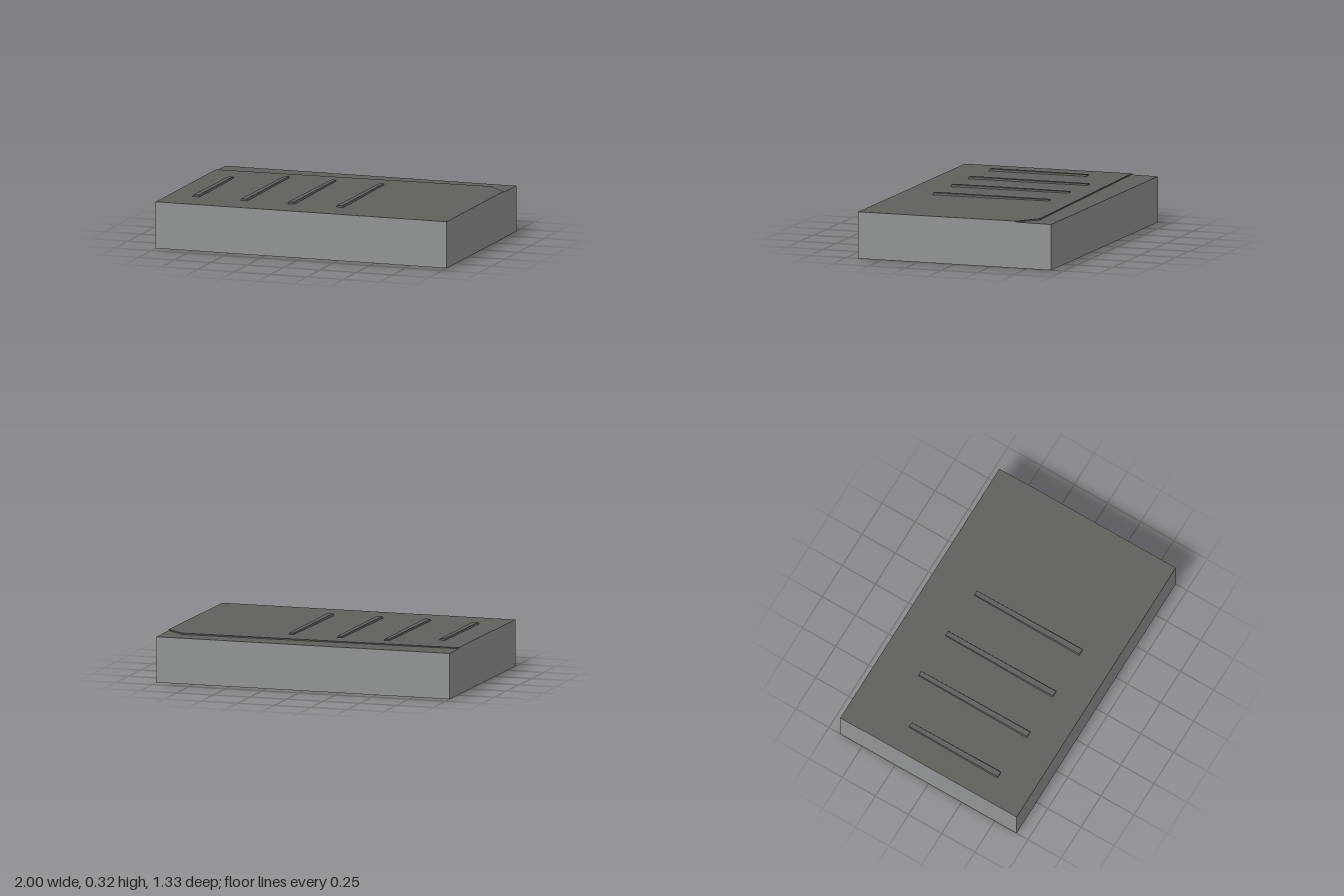
import * as THREE from 'three';

export function createModel() {
  const model = new THREE.Group();
  const wallGrey = new THREE.MeshStandardMaterial({ name: 'wall grey', color: 0x929595, side: THREE.DoubleSide, flatShading: true });
  const roofGrey = new THREE.MeshStandardMaterial({ name: 'roof grey', color: 0x5f615c, side: THREE.DoubleSide, flatShading: true });

  // Flat panel as a fan of triangles from its first corner
  function panel(name, material, ...corners) {
    const pos = [];
    for (let i = 1; i < corners.length - 1; i++) pos.push(...corners[0], ...corners[i], ...corners[i + 1]);
    const geometry = new THREE.BufferGeometry();
    geometry.setAttribute('position', new THREE.Float32BufferAttribute(pos, 3));
    geometry.computeVertexNormals();
    const mesh = new THREE.Mesh(geometry, material);
    mesh.name = name;
    model.add(mesh);
  }

  const D = 0.665, front = 0.306, back = 0.3;

  // Edge of the raised roof, running left to right with a clipped corner
  const high = [[-1, 0.309, -0.485], [0.87, 0.311, -0.54], [1, 0.308, -0.42]];
  const low = high.map(([x, y, z]) => [x, 0.302, z]);

  // Thin outer walls, open underneath
  panel('frontWall', wallGrey, [-1, 0, D], [1, 0, D], [1, front, D], [-1, front, D]);
  panel('backWall', wallGrey, [1, 0, -D], [-1, 0, -D], [-1, back, -D], [1, back, -D]);
  panel('leftWall', wallGrey, [1, 0, D], [1, 0, -D], [1, back, -D], low[2], high[2], [1, front, D]);
  panel('rightWall', wallGrey, [-1, 0, -D], [-1, 0, D], [-1, front, D], high[0], low[0], [-1, back, -D]);

  // Raised main roof, lower back strip and the small step between them
  panel('mainRoof', roofGrey, [-1, front, D], [1, front, D], high[2], high[1], high[0]);
  panel('backRoof', roofGrey, low[1], low[2], [1, back, -D], [-1, back, -D], low[0]);
  for (let i = 0; i < 2; i++) panel('roofStep', roofGrey, high[i], high[i + 1], low[i + 1], low[i]);

  // Four low ribs: x, front z, back z
  const ribs = [[-0.81, 0.42, -0.25], [-0.475, 0.44, -0.38], [-0.15, 0.44, -0.37], [0.185, 0.44, -0.355]];
  for (const [x, z0, z1] of ribs) {
    const geometry = new THREE.BoxGeometry(0.05, 0.014, z0 - z1);
    const p = geometry.attributes.position;
    // Narrow the top and the back end
    for (let i = 0; i < p.count; i++) {
      const s = (p.getY(i) > 0 ? 0.75 : 1) * (p.getZ(i) < 0 ? 0.8 : 1);
      p.setX(i, p.getX(i) * s);
    }
    geometry.computeVertexNormals();
    const rib = new THREE.Mesh(geometry, roofGrey);
    rib.name = 'roofRib';
    rib.position.set(x, 0.312, (z0 + z1) / 2);
    model.add(rib);
  }
  return model;
}
